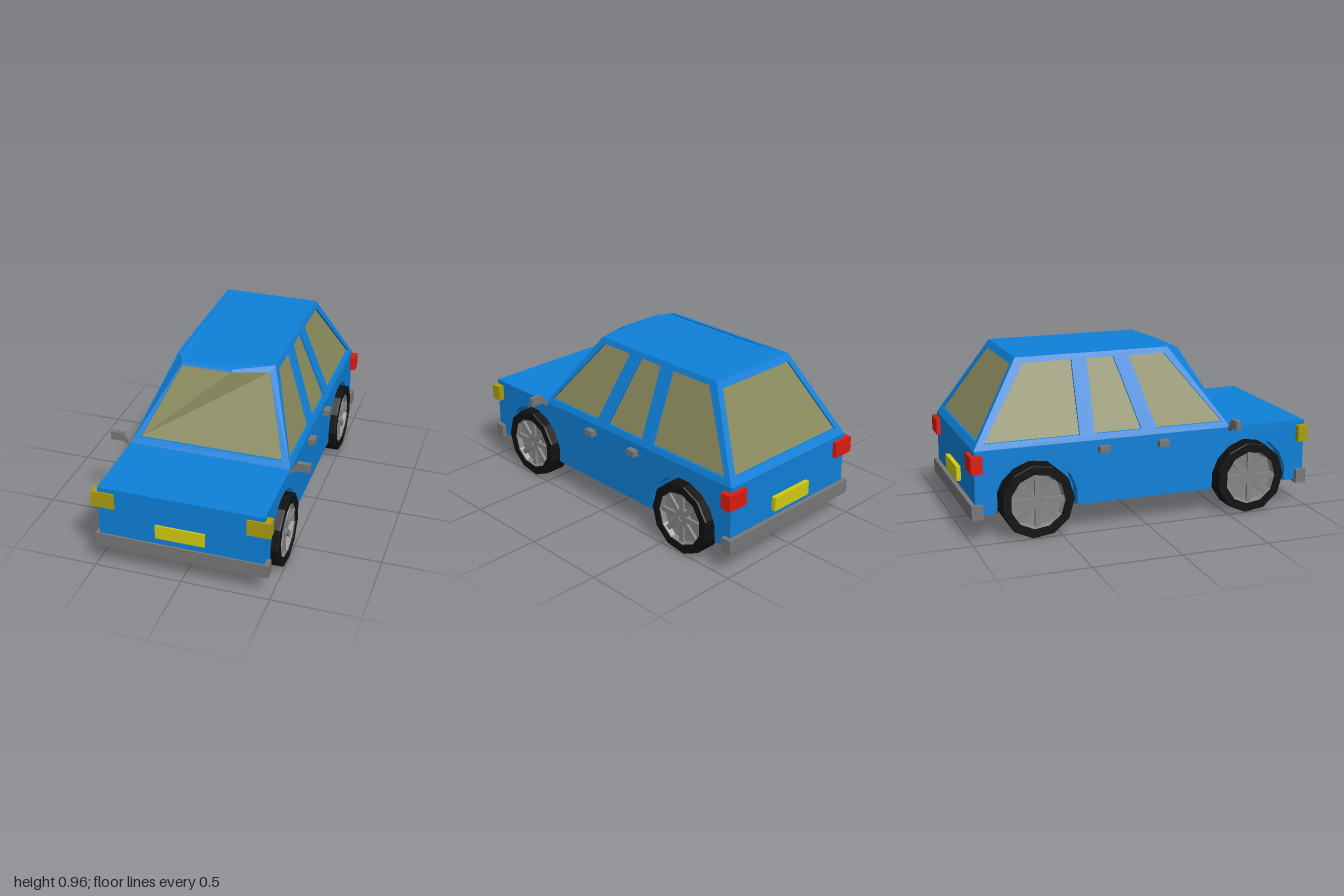
import * as THREE from 'three';

const mat = (color, side = THREE.FrontSide) =>
  new THREE.MeshStandardMaterial({ color, flatShading: true, side });
const BLUE = mat(0x0e80d8, THREE.DoubleSide);
const GLASS = mat(0x88885c, THREE.DoubleSide);
const GREY = mat(0x777777);
const RIM = mat(0x858585, THREE.DoubleSide);
const RUBBER = mat(0x111111, THREE.DoubleSide);
const AMBER = mat(0xaa9c10);
const PLATE = mat(0xd2ca10);
const RED = mat(0xdd1c10);

// Key dimensions
const FLOOR = 0.155, BELT = 0.512, ROOF = 0.965;
const NOSE = 0.99, TAIL = -0.975;
const rise = (y) => Math.max(0, (y - BELT) / (ROOF - BELT));
const halfWidth = (y) => 0.465 - 0.18 * rise(y);
const lerp = THREE.MathUtils.lerp;

// Flat outline (with holes) given thickness, then placed by map(u, v, depth)
function panel(parent, name, material, outline, holes, map, depth = 0.02, offset = 0) {
  const vec = (pts) => pts.map(([u, v]) => new THREE.Vector2(u, v));
  const shape = new THREE.Shape(vec(outline));
  holes.forEach((h) => shape.holes.push(new THREE.Path(vec(h))));
  const geo = new THREE.ExtrudeGeometry(shape, { depth, bevelEnabled: false });
  const p = geo.attributes.position;
  for (let i = 0; i < p.count; i++) {
    p.setXYZ(i, ...map(p.getX(i), p.getY(i), p.getZ(i) + offset));
  }
  geo.computeVertexNormals();
  const mesh = new THREE.Mesh(geo, material);
  mesh.name = name;
  parent.add(mesh);
}

// Frame with recessed panes filling its holes
function glazed(parent, name, outline, holes, map) {
  panel(parent, name + 'Frame', BLUE, outline, holes, map);
  holes.forEach((h) => panel(parent, name + 'Glass', GLASS, h, [], map, 0.003, 0.013));
}

// Box given by its limits
function box(parent, name, material, x0, x1, y0, y1, z0, z1) {
  const mesh = new THREE.Mesh(new THREE.BoxGeometry(Math.abs(x1 - x0), y1 - y0, z1 - z0), material);
  mesh.position.set((x0 + x1) / 2, (y0 + y1) / 2, (z0 + z1) / 2);
  mesh.name = name;
  parent.add(mesh);
}

// Wheel arch outline from rear foot to front foot
function arch(z, r) {
  const pts = [], y = 0.2, a = Math.asin((y - FLOOR) / r), n = 9;
  for (let i = 0; i <= n; i++) {
    const t = lerp(Math.PI + a, -a, i / n);
    pts.push([z + r * Math.cos(t), y + r * Math.sin(t)]);
  }
  return pts;
}

const WHEELS = [-0.633, 0.64];

function addSide(car, s) {
  const map = (z, y, d) => [s * (halfWidth(y) - d), y, z];

  // Lower side with arch cut-outs and recessed wheel wells
  const lower = [[TAIL, FLOOR], ...WHEELS.flatMap((z) => arch(z, 0.24)),
    [NOSE, FLOOR], [NOSE, BELT], [TAIL, BELT]];
  panel(car, 'lowerSide', BLUE, lower, [], map, 0.008);
  WHEELS.forEach((z) => {
    const ring = [...arch(z, 0.24), ...arch(z, 0.236).reverse()];
    panel(car, 'wheelWell', BLUE, ring, [], map, 0.082);
    panel(car, 'wheelWellWall', BLUE, arch(z, 0.24), [], map, 0.003, 0.08);
  });

  // Upper side with three windows
  glazed(car, 'sideWindow',
    [[TAIL, BELT], [0.515, BELT], [0.2, ROOF], [-0.69, ROOF]],
    [
      [[0.47, 0.545], [0.17, 0.935], [-0.04, 0.935], [0.07, 0.545]],
      [[-0.02, 0.545], [-0.13, 0.935], [-0.285, 0.935], [-0.295, 0.545]],
      [[-0.38, 0.545], [-0.375, 0.935], [-0.65, 0.935], [-0.915, 0.545]],
    ], map);

  // Handles, lights and mirror
  for (const z of [0.1, -0.25]) {
    box(car, 'doorHandle', GREY, s * 0.46, s * 0.503, 0.445, 0.48, z - 0.03, z + 0.03);
  }
  box(car, 'headlight', AMBER, s * 0.37, s * 0.5, 0.392, 0.485, 0.938, 1);
  box(car, 'tailLight', RED, s * 0.37, s * 0.5, 0.395, 0.487, -1, -0.935);
  box(car, 'mirror', GREY, s * 0.505, s * 0.58, 0.52, 0.57, 0.5, 0.528);
  panel(car, 'mirrorStalk', GREY.clone(),
    s > 0 ? [[0.46, 0.487], [0.508, 0.52], [0.508, 0.568], [0.46, 0.505]]
      : [[-0.46, 0.505], [-0.508, 0.568], [-0.508, 0.52], [-0.46, 0.487]],
    [], (x, y, d) => [x, y, d + 0.503], 0.022);

  WHEELS.forEach((z) => car.add(makeWheel(s, z)));
}

// Eleven-sided tyre, open on the inside, with a dished spoked rim
function makeWheel(s, z) {
  const wheel = new THREE.Group();
  wheel.name = 'wheel';
  const lathe = (name, pts, material) => {
    const geo = new THREE.LatheGeometry(pts.map(([r, a]) => new THREE.Vector2(r, a)), 11);
    const mesh = new THREE.Mesh(geo, material);
    mesh.name = name;
    wheel.add(mesh);
  };
  lathe('tyre', [[0.192, -0.065], [0.208, -0.065], [0.208, 0.058], [0.203, 0.065],
    [0.157, 0.065], [0.155, 0.025]], RUBBER);
  lathe('rim', [[0.157, 0.058], [0.145, 0.03], [0.05, 0.022], [0.035, 0.042], [0, 0.042]], RIM);
  for (let i = 0; i < 8; i++) {
    const spoke = new THREE.Mesh(new THREE.BoxGeometry(0.13, 0.016, 0.03), RIM);
    const a = (i / 8) * Math.PI * 2;
    spoke.position.set(0.085 * Math.cos(a), 0.04, -0.085 * Math.sin(a));
    spoke.rotation.y = a;
    spoke.name = 'spoke';
    wheel.add(spoke);
  }
  wheel.rotation.z = -s * Math.PI / 2;
  wheel.position.set(s * 0.435, 0.206, z);
  return wheel;
}

export function createModel() {
  const car = new THREE.Group();
  car.name = 'car';
  [1, -1].forEach((s) => addSide(car, s));

  // Nose, tail and bonnet
  const end = [[-0.465, FLOOR], [0.465, FLOOR], [0.465, BELT], [-0.465, BELT]];
  panel(car, 'nose', BLUE, end, [], (x, y, d) => [x, y, NOSE - d], 0.008);
  panel(car, 'tail', BLUE, end, [], (x, y, d) => [x, y, TAIL + d], 0.008);
  panel(car, 'bonnet', BLUE, [[-0.465, 0.5], [0.465, 0.5], [0.465, NOSE], [-0.465, NOSE]], [],
    (x, z, d) => [x, BELT - d, z], 0.008);

  // Roof, drooping toward its uneven front edge
  const roofY = (z) => ROOF - Math.max(0, z - 0.2) * 0.25;
  panel(car, 'roof', BLUE,
    [[-0.285, -0.69], [0.285, -0.69], [0.285, 0.2], [0.06, 0.28], [-0.23, 0.28], [-0.285, 0.19]],
    [], (x, z, d) => [x, roofY(z) - d, z], 0.012);

  // Windscreen bulging ahead of the corner pillars
  const topZ = (u) => (u < -0.8 ? lerp(0.19, 0.28, (u + 1) / 0.2)
    : u < 0.2 ? 0.28 : lerp(0.28, 0.2, (u - 0.2) / 0.8));
  glazed(car, 'windscreen',
    [[-0.465, BELT], [0.465, BELT], [0.285, ROOF], [0.06, 0.945], [-0.23, 0.945], [-0.285, ROOF]],
    [[[-0.412, 0.545], [0.412, 0.545], [0.262, 0.93], [0.06, 0.93], [-0.23, 0.93]]],
    (x, y, d) => [x, y, lerp(0.515, topZ(x / halfWidth(y)), Math.min(1, rise(y) * 1.03)) - d]);

  // Rear window
  glazed(car, 'rearWindow',
    [[-0.465, BELT], [0.465, BELT], [0.285, ROOF], [-0.285, ROOF]],
    [[[-0.41, 0.55], [0.41, 0.55], [0.262, 0.927], [-0.262, 0.927]]],
    (x, y, d) => [x, y, TAIL + 0.285 * rise(y) + d]);

  // Bumpers and number plates
  box(car, 'frontBumper', GREY, -0.49, 0.49, 0.138, 0.218, 0.938, 1);
  box(car, 'rearBumper', GREY, -0.49, 0.49, 0.138, 0.218, -1, -0.935);
  box(car, 'frontPlate', PLATE, -0.14, 0.14, 0.258, 0.34, 0.97, 1);
  box(car, 'rearPlate', PLATE, -0.14, 0.14, 0.258, 0.34, -1, -0.96);
  return car;
}
